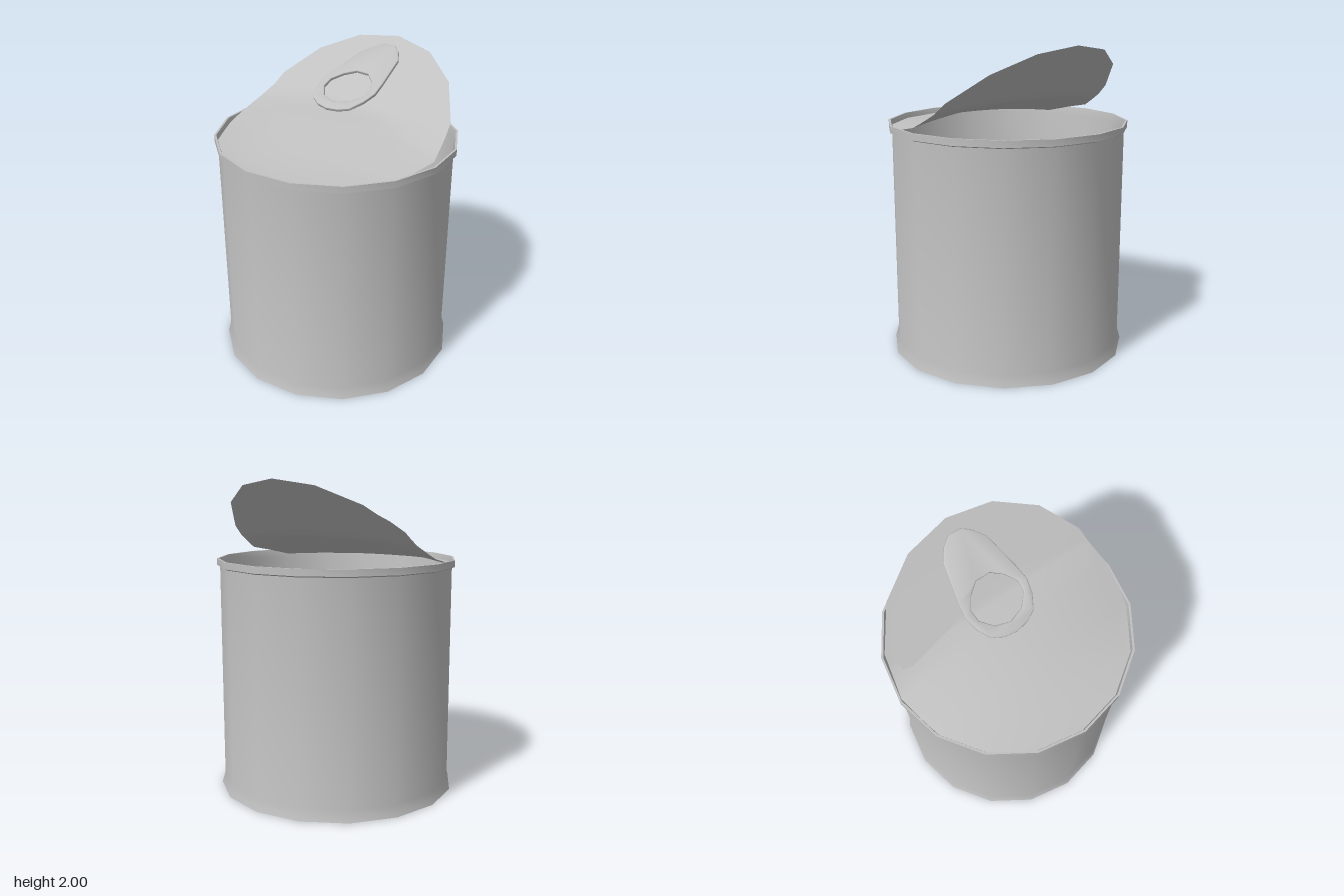
import * as THREE from 'three';
import { toCreasedNormals } from 'three/addons/utils/BufferGeometryUtils.js';

const SIDES = 16;
const LID_R = 0.755;

// linear interpolation through [position, value] knots in rising order
function lerpKnots(knots, t) {
  if (t <= knots[0][0]) return knots[0][1];
  for (let i = 1; i < knots.length; i++) {
    const [a, va] = knots[i - 1], [b, vb] = knots[i];
    if (t <= b) return va + (vb - va) * (t - a) / (b - a);
  }
  return knots[knots.length - 1][1];
}

// half width of the sixteen-sided lid at each row, front (-) to back (+)
const lidOutline = [];
for (let i = 0; i <= SIDES / 2; i++) {
  const a = -Math.PI / 2 + i * 2 * Math.PI / SIDES;
  lidOutline.push([LID_R * Math.sin(a), LID_R * Math.cos(a)]);
}

// height along the middle and along the rim of the lid
const midHeight = [[-0.23, 1.69], [-0.15, 1.635], [0.755, 1.465]];
const rimHeight = [[-0.23, 1.69], [-0.13, 1.6], [0, 1.53], [0.29, 1.465]];

function lidHeight(x, s, z) {
  if (z < -0.23) return 1.69 + 0.84 * (-0.23 - z);
  const w = Math.min(1, (x * x + s * s) / (LID_R * LID_R));
  return THREE.MathUtils.lerp(lerpKnots(midHeight, z), lerpKnots(rimHeight, z), w);
}

// sheet bent up towards the back
function lidGeometry() {
  const rows = lidOutline.map(p => p[0]).concat([-0.64, -0.41, -0.15, 0.08, 0.19, 0.23, 0.41]);
  rows.sort((a, b) => b - a);
  const cols = 16;
  const geo = new THREE.PlaneGeometry(2, 2, cols, rows.length - 1);
  const pos = geo.attributes.position;
  for (let i = 0; i < pos.count; i++) {
    const s = rows[Math.floor(i / (cols + 1))];
    const x = pos.getX(i) * lerpKnots(lidOutline, s);
    const z = s > 0 ? -0.79 * s : -s;
    pos.setXYZ(i, x, lidHeight(x, s, z), z);
  }
  geo.computeVertexNormals();
  return geo;
}

// closed symmetric outline from its right half, given as [x, z] seen from above
function mirrored(half, toPoint) {
  const left = half.filter(p => p[0] > 0).reverse().map(([x, z]) => [-x, z]);
  return half.concat(left).map(toPoint);
}

export function createModel() {
  const group = new THREE.Group();
  const tin = new THREE.MeshStandardMaterial({ color: 0xc0c0c0, side: THREE.DoubleSide });
  tin.name = 'tin';
  const add = (name, geo) => {
    const mesh = new THREE.Mesh(geo, tin);
    mesh.name = name;
    group.add(mesh);
    return mesh;
  };

  // can body: flared foot, wall, rolled rim, hollow inside
  const profile = [
    [0, 0], [0.77, 0], [0.75, 0.07], [0.75, 1.45], [0.77, 1.458], [0.77, 1.5],
    [0.757, 1.5], [0.745, 1.45], [0.735, 0.05], [0, 0.05],
  ].map(([r, y]) => new THREE.Vector2(r, y));
  add('canBody', toCreasedNormals(new THREE.LatheGeometry(profile, SIDES), 0.6));

  // peeled-back lid
  add('lid', lidGeometry());

  // flat pressed panel beside the tab
  const panelShape = new THREE.Shape([
    [-0.66, -0.11], [-0.6, -0.1], [-0.15, -0.18], [0.06, -0.21], [0.08, -0.3], [-0.15, -0.42],
    [-0.3, -0.425], [-0.45, -0.41], [-0.54, -0.36], [-0.62, -0.28], [-0.67, -0.19],
  ].map(([x, z]) => new THREE.Vector2(x, -z)));
  const panel = new THREE.ShapeGeometry(panelShape);
  const pos = panel.attributes.position;
  for (let i = 0; i < pos.count; i++) {
    const s = pos.getY(i);
    pos.setXYZ(i, pos.getX(i), 1.622 + 0.75 * (s - 0.1), -s);
  }
  panel.computeVertexNormals();
  add('lidPanel', panel);

  // pull tab with finger hole, tilted up to the back
  const tilt = 0.397, front = 0.095;
  const toTab = ([x, z]) => new THREE.Vector2(x, (front - z) / Math.cos(tilt));
  const tabShape = new THREE.Shape(mirrored([
    [0, 0.09], [0.08, 0.078], [0.145, 0.045], [0.19, -0.03], [0.21, -0.11],
    [0.195, -0.2], [0.145, -0.41], [0.09, -0.48], [0.04, -0.515],
  ], toTab));
  tabShape.holes.push(new THREE.Path(mirrored([
    [0, 0.04], [0.1, 0.01], [0.165, -0.06], [0.17, -0.13], [0.12, -0.2], [0.05, -0.25],
  ], toTab)));
  const tabGeo = new THREE.ExtrudeGeometry(tabShape, {
    depth: 0.008, bevelEnabled: true, bevelSize: 0.007, bevelThickness: 0.007, bevelSegments: 2,
  });
  const tab = add('pullTab', toCreasedNormals(tabGeo, 0.9));
  tab.rotation.x = tilt - Math.PI / 2;
  tab.position.set(0, 1.685, front);

  return group;
}
